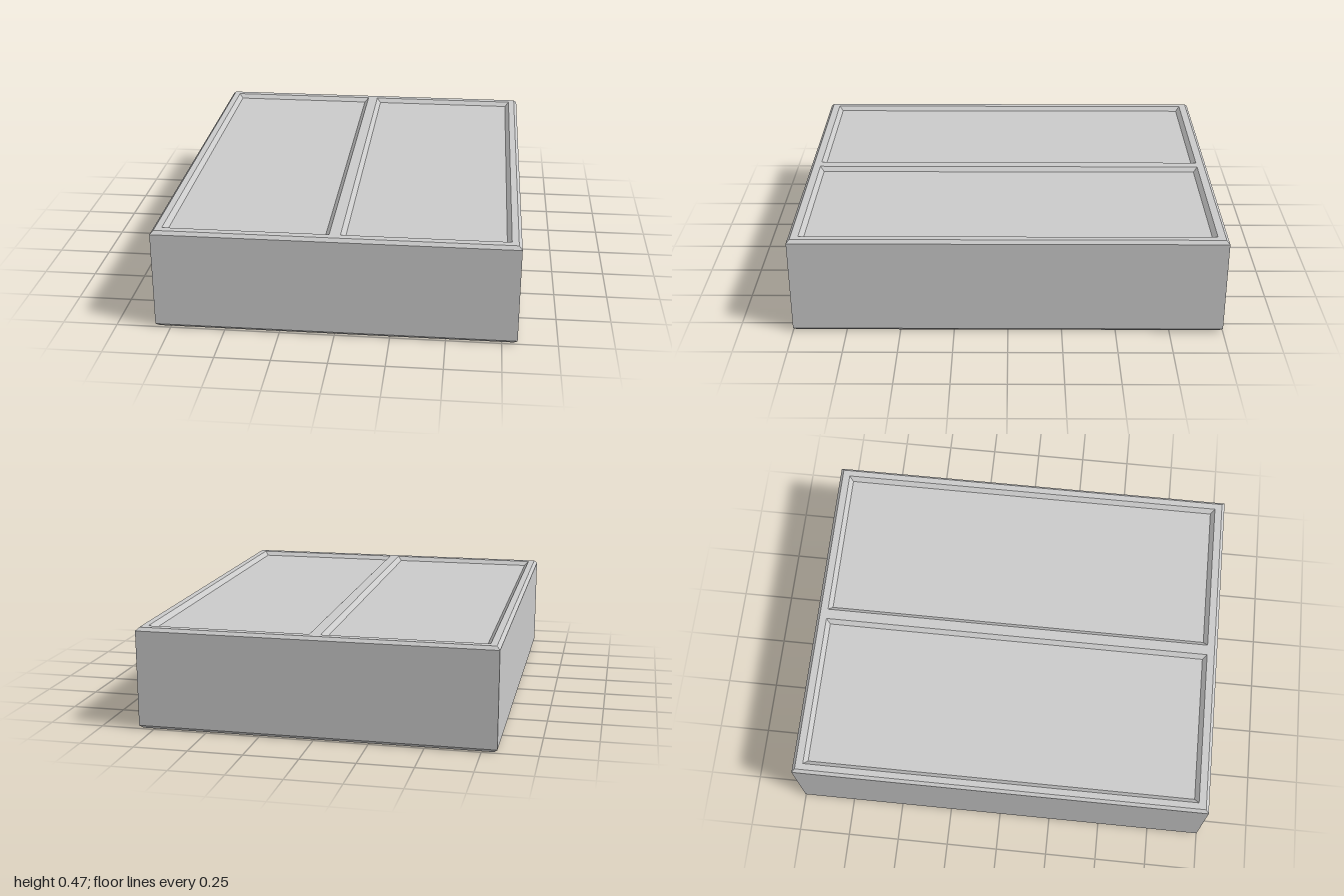
import * as THREE from 'three';

const W = 1.64, D = 2, H = 0.475, BEVEL = 0.015;
const PANEL = { x: 0.4, w: 0.75, d: 1.9, depth: 0.02, slope: 0.02 };

// Corners of a horizontal rectangle, anticlockwise seen from above
const ring = (w, d, y) => [[-w / 2, y, d / 2], [w / 2, y, d / 2], [w / 2, y, -d / 2], [-w / 2, y, -d / 2]];

// Joins rectangles with flat walls: rising rings face out, falling rings face in
function loft(rings, capFirst, capLast) {
  const points = [];
  const quad = (a, b, c, d) => points.push(...a, ...b, ...c, ...a, ...c, ...d);
  for (let i = 0; i + 1 < rings.length; i++) {
    const a = rings[i], b = rings[i + 1];
    for (let j = 0; j < 4; j++) {
      const k = (j + 1) % 4;
      quad(a[j], a[k], b[k], b[j]);
    }
  }
  if (capFirst) quad(...[...rings[0]].reverse());
  if (capLast) quad(...rings[rings.length - 1]);
  const geometry = new THREE.BufferGeometry();
  geometry.setAttribute('position', new THREE.Float32BufferAttribute(points, 3));
  geometry.computeVertexNormals();
  return geometry;
}

const outline = (target, x, w, d) => target
  .moveTo(x - w / 2, -d / 2).lineTo(x + w / 2, -d / 2)
  .lineTo(x + w / 2, d / 2).lineTo(x - w / 2, d / 2).closePath();

export function createModel() {
  const group = new THREE.Group();
  group.name = 'panelledBox';
  const material = new THREE.MeshStandardMaterial({ color: 0xcccccc, flatShading: true });
  const add = (name, geometry) => {
    const mesh = new THREE.Mesh(geometry, material);
    mesh.name = name;
    group.add(mesh);
    return mesh;
  };

  // Body with bevelled top and bottom edges
  const w = W - 2 * BEVEL, d = D - 2 * BEVEL;
  add('body', loft([ring(w, d, 0), ring(W, D, BEVEL), ring(W, D, H - BEVEL), ring(w, d, H)], true, false));

  // Top frame with an opening for each panel
  const frame = outline(new THREE.Shape(), 0, w, d);
  for (const side of [-1, 1]) {
    frame.holes.push(outline(new THREE.Path(), side * PANEL.x, PANEL.w, PANEL.d));
  }
  add('topFrame', new THREE.ShapeGeometry(frame).rotateX(-Math.PI / 2).translate(0, H, 0));

  // Sunken panels with sloping rims
  for (const side of [-1, 1]) {
    const s = 2 * PANEL.slope;
    const panel = add(side > 0 ? 'leftPanel' : 'rightPanel', loft([
      ring(PANEL.w, PANEL.d, H),
      ring(PANEL.w - s, PANEL.d - s, H - PANEL.depth),
    ], false, true));
    panel.position.x = side * PANEL.x;
  }
  return group;
}
